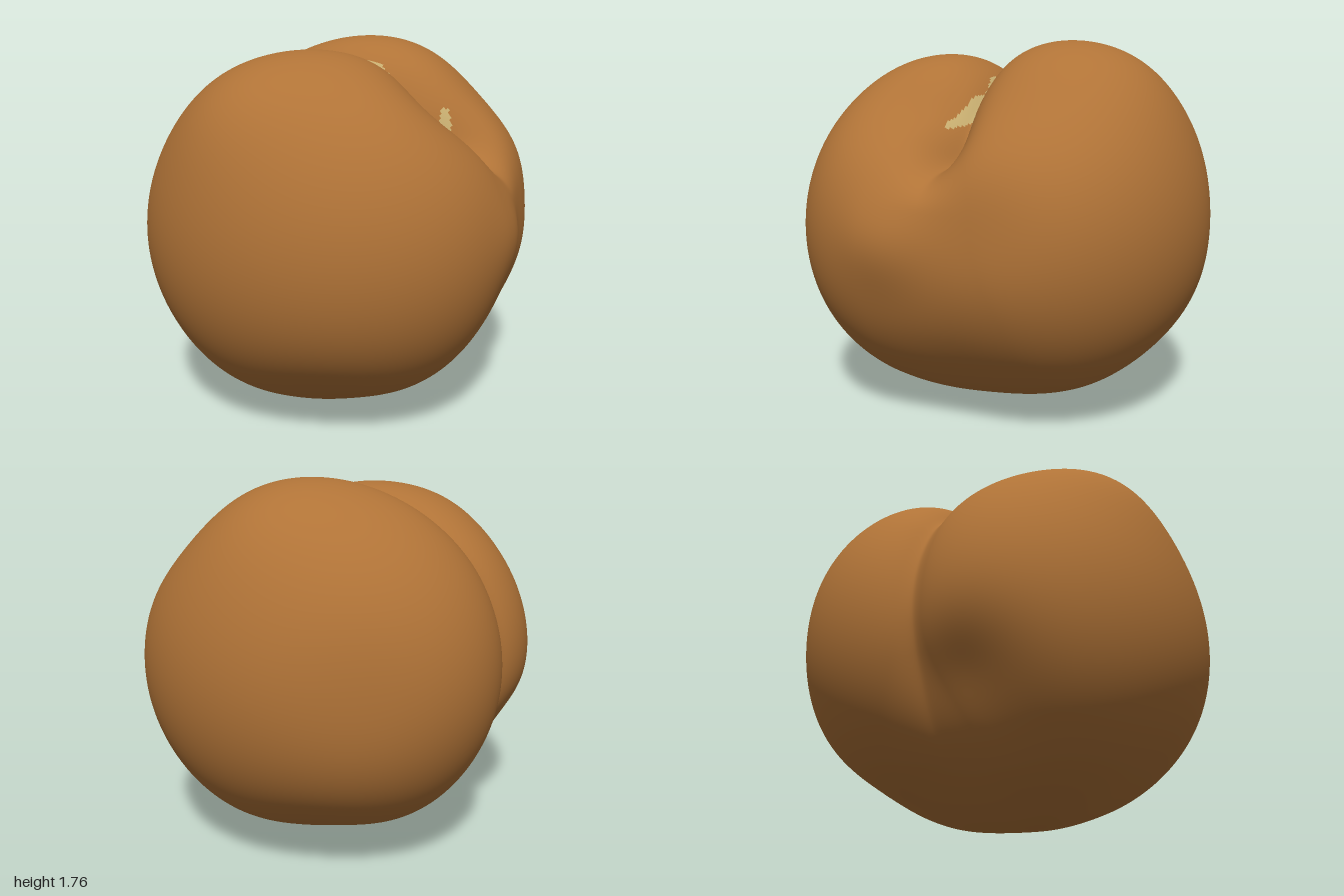
import * as THREE from 'three';

const ROWS = 190, COLS = 280;
const CENTRE_Y = 0.87;

// Smooth interpolation through [degrees, value] keys around the cleft.
function keyed(keys, deg) {
  for (let i = 1; i < keys.length; i++) {
    const [a, va] = keys[i - 1], [b, vb] = keys[i];
    if (deg <= b) return va + (vb - va) * THREE.MathUtils.smoothstep(deg, a, b);
  }
  return keys[keys.length - 1][1];
}

// 0 deg is the stem side, 90 the top, 180 the far side, 270 underneath.
const CLEFT_DEPTH = [[-90, 0], [10, 0], [35, 0.1], [70, 0.16], [105, 0.14], [150, 0.05], [200, 0.03], [240, 0], [270, 0]];
const LOBE_BLEND = [[-90, 0.36], [-30, 0.28], [10, 0.22], [50, 0.09], [190, 0.07], [235, 0.22], [270, 0.36]];

// Soft swellings and hollows: [direction, height, angular width].
const BUMPS = [
  [[-0.25, 0.63, 0.75], 0.06, 0.35],   // front shoulder
  [[0.1, 0.72, -0.68], 0.035, 0.33],   // rear shoulder
  [[0.65, 0.72, 0.2], -0.11, 0.33],    // hollow before the stem
  [[0.66, 0.66, -0.38], -0.05, 0.33],  // hollow behind the stem
  [[0.16, -0.76, 0.63], -0.055, 0.35], // front underside
  [[-0.16, -0.76, -0.63], -0.055, 0.35], // rear underside
  [[0, -0.97, 0.25], 0.015, 0.2],      // resting point
  [[-0.72, -0.6, 0.3], -0.04, 0.3],    // lower end of the cleft
  [[-0.8, -0.4, 0.28], -0.045, 0.25],  // front lobe beside the cleft
  [[0.94, 0, 0.18], 0.04, 0.22],       // cheek below the stem
  [[0.94, 0.1, -0.34], -0.025, 0.25],  // hollow beside that cheek
  [[-0.45, 0.05, -0.88], -0.02, 0.3],  // flatter rear cheek
].map(([d, height, width]) => ({ dir: new THREE.Vector3(...d).normalize(), height, width }));

// Distance from the fruit's centre to a lobe (an ellipsoid) along direction d.
function lobe(d, cy, cz) {
  const s = new THREE.Vector3(0.86, 0.845, 0.72);
  const u = d.clone().divide(s), c = new THREE.Vector3(0, cy, cz).divide(s);
  const a = u.dot(u), b = u.dot(c);
  return (b + Math.sqrt(b * b - a * (c.dot(c) - 1))) / a;
}

// Two lobes blended together, cut by the cleft and the stem dimple.
function surfacePoint(lat, phi) {
  const d = new THREE.Vector3(Math.cos(lat) * Math.cos(phi), Math.cos(lat) * Math.sin(phi), Math.sin(lat));
  const deg = THREE.MathUtils.radToDeg(phi);
  const front = lobe(d, -0.025, 0.28), back = lobe(d, 0.025, -0.28);
  const k = keyed(LOBE_BLEND, deg);
  const h = Math.max(k - Math.abs(front - back), 0) / k;
  let r = Math.max(front, back) + h * h * k / 4;
  for (const b of BUMPS) r += b.height * Math.exp(-2 * (1 - d.dot(b.dir)) / b.width ** 2);
  r -= keyed(CLEFT_DEPTH, deg) * Math.exp((0.03 - Math.hypot(lat, 0.03)) / 0.1);
  r -= 0.1 * Math.exp(-(((deg - 34) / 12) ** 2) - (lat / 0.14) ** 2);
  return d.multiplyScalar(r);
}

// Pale patch along the bottom of the upper cleft, drifting forward at the stem.
function isPale(p) {
  if (p.y < 0.2) return false;
  if (Math.hypot(p.x - 0.49, p.z + 0.065) < 0.025) return true;
  const across = 1 - ((p.x - 0.09) / 0.36) ** 2;
  if (across <= 0) return false;
  const middle = -0.015 + 0.4 * Math.max(p.x - 0.2, 0) + 0.006 * Math.sin(p.x * 31);
  const halfWidth = 0.03 + 0.035 * Math.exp(-(((p.x - 0.06) / 0.13) ** 2));
  return Math.abs(p.z - middle) < halfWidth * Math.sqrt(across);
}

function fruitGeometry() {
  const points = [];
  for (let i = 0; i <= ROWS; i++) {
    // Rows crowd towards the cleft.
    const s = i / ROWS * 2 - 1;
    const lat = Math.sign(s) * Math.abs(s) ** 1.4 * Math.PI / 2;
    const pole = i === 0 || i === ROWS;
    for (let j = 0; j < (pole ? 1 : COLS); j++) {
      points.push(surfacePoint(lat, -Math.PI / 2 + j / COLS * Math.PI * 2));
    }
  }
  const id = (i, j) => i === 0 ? 0 : i === ROWS ? points.length - 1 : 1 + (i - 1) * COLS + j % COLS;

  const skin = [], pale = [];
  for (let i = 0; i < ROWS; i++) {
    for (let j = 0; j < COLS; j++) {
      const a = id(i, j), b = id(i, j + 1), c = id(i + 1, j + 1), d = id(i + 1, j);
      const mid = points[a].clone().add(points[c]).multiplyScalar(0.5);
      const list = isPale(mid) ? pale : skin;
      if (i > 0) list.push(a, b, c);
      if (i < ROWS - 1) list.push(a, c, d);
    }
  }
  const geometry = new THREE.BufferGeometry().setFromPoints(points);
  geometry.setIndex([...skin, ...pale]);
  geometry.addGroup(0, skin.length, 0);
  geometry.addGroup(skin.length, pale.length, 1);
  geometry.computeVertexNormals();
  return geometry;
}

export function createModel() {
  const skin = new THREE.MeshStandardMaterial({ color: 0xb07337 });
  skin.name = 'brown skin';
  const pale = new THREE.MeshStandardMaterial({ color: 0xc8ae70 });
  pale.name = 'pale cleft';

  const group = new THREE.Group();
  group.name = 'fruit';
  const body = new THREE.Mesh(fruitGeometry(), [skin, pale]);
  body.name = 'fruitBody';
  // Turn the fruit so the cleft crosses it at a slant.
  body.rotation.y = 0.455;
  body.position.y = CENTRE_Y;
  group.add(body);
  return group;
}
